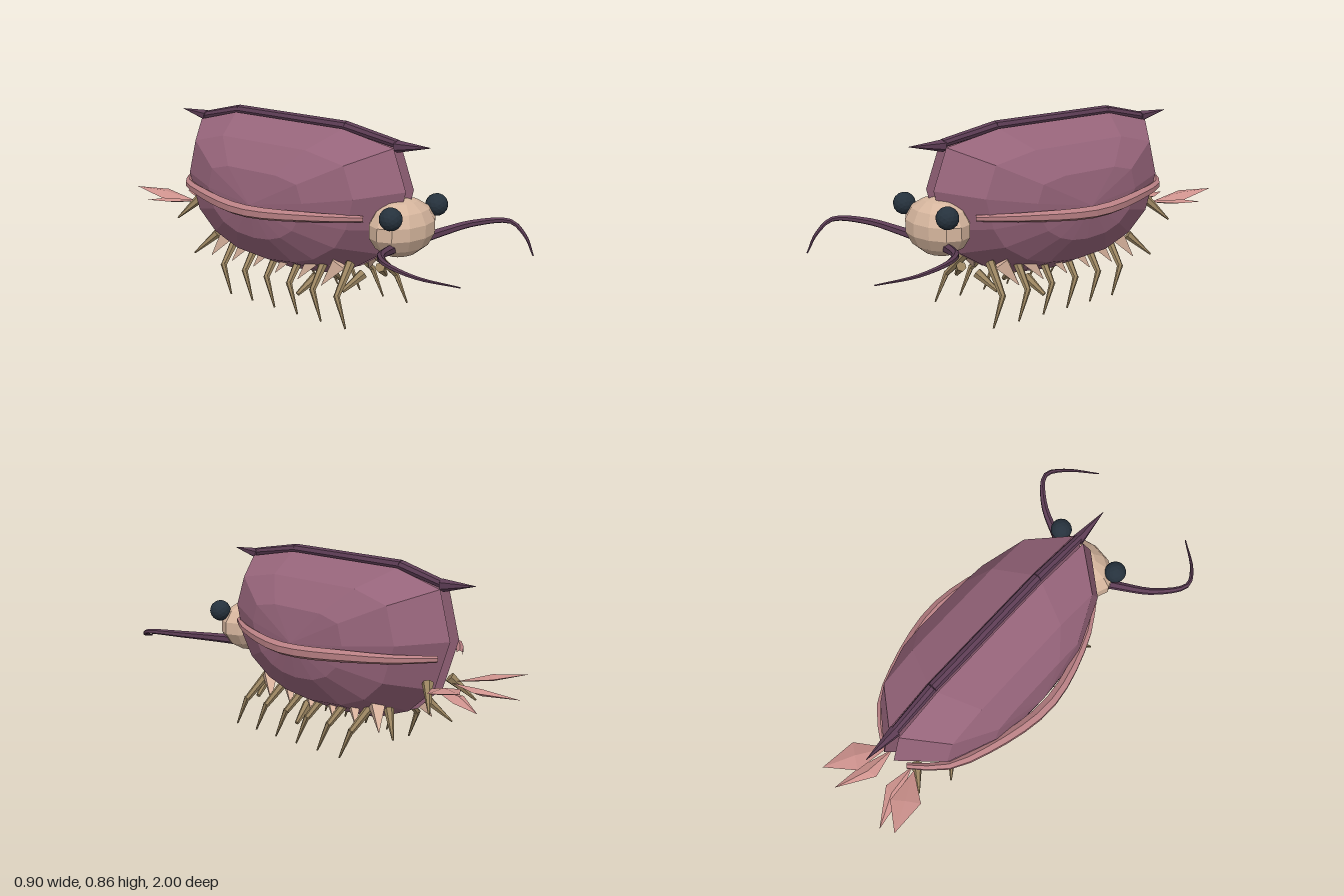
import * as THREE from 'three';

const mat = (color, side = THREE.FrontSide) => new THREE.MeshStandardMaterial({ color, flatShading: true, side });
const SHELL = mat(0x96647a), KEEL = mat(0x5d3d55), RIDGE = mat(0xb98084), SKIN = mat(0xd6b69e);
const LEG = mat(0x9a8460), EYE = mat(0x26323d), FIN = mat(0xcf938e, THREE.DoubleSide), GILL = mat(0xe0b9a3, THREE.DoubleSide);
const V = (p) => new THREE.Vector3(...p);

function add(parent, name, geometry, material) {
  const mesh = new THREE.Mesh(geometry, material);
  mesh.name = name;
  parent.add(mesh);
  return mesh;
}

// Tapered straight segment from a to b
function rod(parent, name, a, b, r1, r2, material, sides = 6) {
  const from = V(a), to = V(b), dir = to.clone().sub(from);
  const mesh = add(parent, name, new THREE.CylinderGeometry(r2, r1, dir.length(), sides), material);
  mesh.position.copy(from).add(to).multiplyScalar(0.5);
  mesh.quaternion.setFromUnitVectors(new THREE.Vector3(0, 1, 0), dir.normalize());
  return mesh;
}

// Curved tube whose radius follows radiusAt(t)
function taperedTube(points, radiusAt, segments, sides) {
  const curve = new THREE.CatmullRomCurve3(points.map(V));
  const g = new THREE.TubeGeometry(curve, segments, 1, sides);
  const pos = g.attributes.position, v = new THREE.Vector3();
  for (let i = 0; i < pos.count; i++) {
    const t = Math.floor(i / (sides + 1)) / segments, c = curve.getPointAt(t);
    v.fromBufferAttribute(pos, i).sub(c).multiplyScalar(radiusAt(t)).add(c);
    pos.setXYZ(i, v.x, v.y, v.z);
  }
  g.computeVertexNormals();
  return g;
}

// Domed valve: the side outline shrinks in rings towards the outermost point
function valveGeometry() {
  const outline = [[0.48, 0.78], [0.55, 0.6], [0.5, 0.42], [0.42, 0.3], [0.26, 0.2], [0.1, 0.15], [-0.1, 0.13],
    [-0.35, 0.15], [-0.54, 0.22], [-0.68, 0.34], [-0.76, 0.56], [-0.7, 0.77], [-0.46, 0.83], [-0.13, 0.83], [0.2, 0.83]];
  const rings = [[1, 0.028], [0.77, 0.2], [0.44, 0.285]], cz = -0.1, cy = 0.49, n = outline.length;
  const pos = [], idx = [];
  for (const [s, x] of rings) for (const [z, y] of outline) pos.push(x, cy + (y - cy) * s, cz + (z - cz) * s);
  pos.push(0.315, cy, cz, 0.022, cy, cz);
  const outer = rings.length * n;
  for (let i = 0; i < n; i++) {
    const j = (i + 1) % n;
    for (let r = 0; r < rings.length - 1; r++) {
      const a = r * n + i, b = r * n + j;
      idx.push(a, b, b + n, a, b + n, a + n);
    }
    idx.push(outer - n + i, outer - n + j, outer, j, i, outer + 1);
  }
  const g = new THREE.BufferGeometry();
  g.setAttribute('position', new THREE.Float32BufferAttribute(pos, 3));
  g.setIndex(idx);
  g.computeVertexNormals();
  return g;
}

// Thin pointed blade: base, two shoulders and tip around a slightly raised midrib
function leafGeometry(base, left, right, tip) {
  const mid = V(left).add(V(right)).multiplyScalar(0.5);
  const pos = [base, left, tip, right].flat();
  pos.push(mid.x, mid.y + 0.015, mid.z, mid.x, mid.y - 0.015, mid.z);
  const idx = [];
  for (let i = 0; i < 4; i++) {
    const j = (i + 1) % 4;
    idx.push(j, i, 4, i, j, 5);
  }
  const g = new THREE.BufferGeometry();
  g.setAttribute('position', new THREE.Float32BufferAttribute(pos, 3));
  g.setIndex(idx);
  g.computeVertexNormals();
  return g;
}

// Everything on the left half, reused mirrored for the right
function buildSide(name) {
  const side = new THREE.Group();
  side.name = name;
  add(side, 'shellValve', valveGeometry(), SHELL);
  add(side, 'sideRidge', taperedTube(
    [[0.165, 0.49, 0.43], [0.265, 0.485, 0.25], [0.345, 0.47, -0.1], [0.268, 0.485, -0.47], [0.195, 0.49, -0.62], [0.07, 0.49, -0.73]],
    (t) => 0.014 + 0.015 * Math.sin(Math.PI * t), 14, 6), RIDGE);

  // Eye and antenna
  add(side, 'eye', new THREE.IcosahedronGeometry(0.05, 2), EYE).position.set(0.165, 0.515, 0.575);
  add(side, 'antenna', taperedTube(
    [[0.1, 0.365, 0.54], [0.2, 0.385, 0.585], [0.34, 0.41, 0.66], [0.44, 0.42, 0.78], [0.4, 0.385, 0.88], [0.275, 0.34, 1]],
    (t) => 0.003 + 0.021 * (1 - t), 20, 6), KEEL);

  // Walking legs and the gill plates between them
  for (let i = 0; i < 6; i++) {
    const z = 0.3 - i * 0.14, leg = new THREE.Group();
    leg.name = 'walkingLeg';
    rod(leg, 'upperLeg', [0.09, 0.25, z], [0.213, 0.13, z + 0.025], 0.022, 0.014, LEG);
    rod(leg, 'lowerLeg', [0.213, 0.138, z + 0.023], [0.224, 0, z + 0.085], 0.014, 0.004, LEG);
    side.add(leg);
    rod(side, 'gillPlate', [0.12, 0.25, z - 0.04], [0.17, 0.145, z - 0.1], 0.045, 0.002, GILL, 4);
  }

  // Short feeding limbs and rear spikes
  rod(side, 'feedingLimb', [0.06, 0.205, 0.35], [0.155, 0.138, 0.31], 0.024, 0.01, LEG);
  rod(side, 'feedingLimb', [0.055, 0.13, 0.07], [0.152, 0.062, 0.04], 0.024, 0.01, LEG);
  rod(side, 'rearSpike', [0.12, 0.24, -0.51], [0.19, 0.14, -0.6], 0.022, 0.004, LEG);
  rod(side, 'tailSpike', [0.07, 0.38, -0.68], [0.15, 0.28, -0.76], 0.025, 0.004, LEG);

  // Tail fan
  add(side, 'tailLeaf', leafGeometry([0.06, 0.36, -0.7], [0.03, 0.35, -0.84], [0.12, 0.34, -0.86], [0.14, 0.33, -1]), FIN);
  add(side, 'tailLeaf', leafGeometry([0.08, 0.365, -0.71], [0.1, 0.4, -0.88], [0.21, 0.385, -0.8], [0.22, 0.42, -0.975]), FIN);
  return side;
}

export function createModel() {
  const model = new THREE.Group();
  model.name = 'bivalvedCrustacean';
  const left = buildSide('leftSide'), right = buildSide('rightSide');
  right.scale.x = -1;
  model.add(left, right);

  // Head and the body between the valves
  const head = add(model, 'head', new THREE.SphereGeometry(1, 12, 7), SKIN);
  head.scale.set(0.185, 0.128, 0.125);
  head.position.set(0, 0.437, 0.515);
  const body = add(model, 'body', new THREE.SphereGeometry(1, 10, 8), SKIN);
  body.scale.set(0.1, 0.165, 0.55);
  body.position.set(0, 0.375, -0.1);

  // Keel along the hinge, ending in a spike at each end
  const path = [[0, 0.795, 0.48], [0, 0.838, 0.2], [0, 0.838, -0.46], [0, 0.785, -0.7]];
  for (let i = 0; i < 3; i++) rod(model, 'keel', path[i], path[i + 1], i ? 0.024 : 0.02, i < 2 ? 0.024 : 0.02, KEEL, 8);
  rod(model, 'frontSpike', [0, 0.785, 0.475], [0, 0.8, 0.65], 0.028, 0.001, KEEL);
  rod(model, 'rearKeelSpike', [0, 0.783, -0.69], [0, 0.8, -0.86], 0.028, 0.001, KEEL);
  return model;
}
